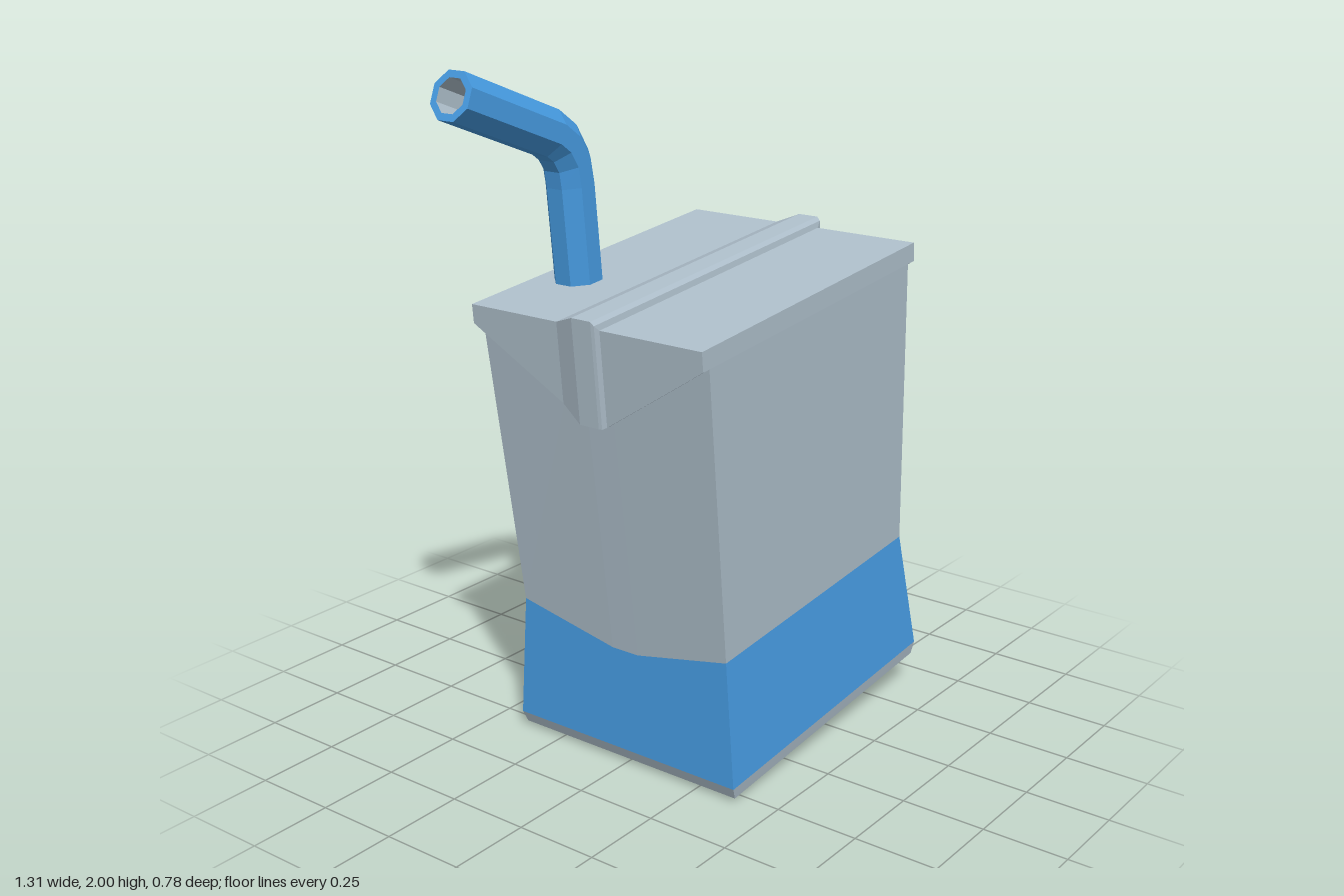
import * as THREE from 'three';

const TILT = 0.0943;      // the carton leans about z
const CX = 0.181;         // carton centre line in its own tilted frame

const grey = new THREE.MeshStandardMaterial({ color: 0xafc0cc, flatShading: true });
grey.name = 'carton grey';
const blue = new THREE.MeshStandardMaterial({ color: 0x479ce3, flatShading: true });
blue.name = 'blue';

// Skins a list of cross-sections, each counterclockwise seen from the far end.
function loft(name, rings, material, { start = false, end = false, inward = false } = {}) {
  const pos = [];
  const tri = (a, b, c) => {
    for (const p of inward ? [a, c, b] : [a, b, c]) pos.push(...p);
  };
  const n = rings[0].length;
  for (let i = 0; i < rings.length - 1; i++) {
    for (let j = 0; j < n; j++) {
      const k = (j + 1) % n;
      const a = rings[i][j], b = rings[i][k], c = rings[i + 1][k], d = rings[i + 1][j];
      tri(a, b, c);
      tri(a, c, d);
    }
  }
  const first = rings[0], last = rings[rings.length - 1];
  for (let j = 1; j < n - 1; j++) {
    if (start) tri(first[0], first[j + 1], first[j]);
    if (end) tri(last[0], last[j], last[j + 1]);
  }
  const geometry = new THREE.BufferGeometry();
  geometry.setAttribute('position', new THREE.Float32BufferAttribute(pos, 3));
  geometry.computeVertexNormals();
  const mesh = new THREE.Mesh(geometry, material);
  mesh.name = name;
  return mesh;
}

// Carton section: four corners plus a narrow centre strip on each side,
// which may sit at its own height and width.
function cartonRing(y, hx, hz, midY = y, midX = hx) {
  const side = [[hx, y, hz], [midX, midY, 0.055], [midX, midY, -0.035], [hx, y, -hz]];
  const other = side.map(([x, h, z]) => [-x, h, z]).reverse();
  return [...side, ...other].map(([x, h, z]) => [x + CX, h, z]);
}

// Lid section: an inverted U whose legs are the folded side flaps.
function lidRing([z, top, out, bottom]) {
  const inner = 0.49, under = 1.326;
  return [
    [out, bottom], [out, top], [-out, top], [-out, bottom],
    [-inner, bottom], [-inner, under], [inner, under], [inner, bottom],
  ].map(([x, y]) => [x + CX, y, z]);
}

// Octagonal straw sections along a bent centre line, mitred at each bend.
function strawRings(path, radius) {
  return path.map(([x, y], i) => {
    const p = path[Math.max(i - 1, 0)], q = path[Math.min(i + 1, path.length - 1)];
    const t = new THREE.Vector2(q[0] - p[0], q[1] - p[1]).normalize();
    return Array.from({ length: 8 }, (_, j) => {
      const a = (j + 0.5) * Math.PI / 4;
      const u = Math.cos(a) * radius;
      return [x + t.y * u, y - t.x * u, -0.275 - Math.sin(a) * radius];
    });
  });
}

export function createModel() {
  const model = new THREE.Group();
  model.name = 'drinkCarton';

  const carton = new THREE.Group();
  carton.name = 'carton';
  carton.rotation.z = TILT;
  model.add(carton);

  // Base with a bevelled underside
  const foot = cartonRing(0.083, 0.484, 0.39);
  const waist = cartonRing(0.457, 0.45, 0.363, 0.393, 0.456);
  carton.add(loft('base', [
    cartonRing(0.03, 0.449, 0.345),
    cartonRing(0.046, 0.472, 0.384),
    foot,
  ], grey, { start: true }));

  // Flared coloured band and the plain upper body
  carton.add(loft('blueBand', [foot, waist], blue));
  carton.add(loft('upperBody', [
    waist,
    cartonRing(1.35, 0.482, 0.388, 1.35, 0.488),
  ], grey, { end: true }));

  // Lid, top seam and side flaps: z, top height, half width, flap bottom
  carton.add(loft('lidAndFlaps', [
    [-0.395, 1.381, 0.511, 1.326],
    [-0.09, 1.381, 0.511, 1.149],
    [-0.02, 1.409, 0.53, 1.108],
    [0.045, 1.409, 0.53, 1.108],
    [0.055, 1.398, 0.528, 1.108],
    [0.058, 1.381, 0.511, 1.108],
    [0.39, 1.381, 0.511, 1.326],
  ].map(lidRing), grey, { start: true, end: true }));

  // Bent hollow straw
  const path = [
    [-0.15, 1.36], [-0.18, 1.65], [-0.193, 1.715],
    [-0.227, 1.768], [-0.275, 1.802], [-0.63, 1.94],
  ];
  const outer = strawRings(path, 0.071);
  const inner = strawRings(path, 0.05);
  const straw = new THREE.Group();
  straw.name = 'straw';
  straw.add(loft('strawWall', outer, blue));
  straw.add(loft('strawRim', [outer.at(-1), inner.at(-1)], blue));
  straw.add(loft('strawLining', inner, grey, { inward: true }));
  model.add(straw);

  return model;
}
